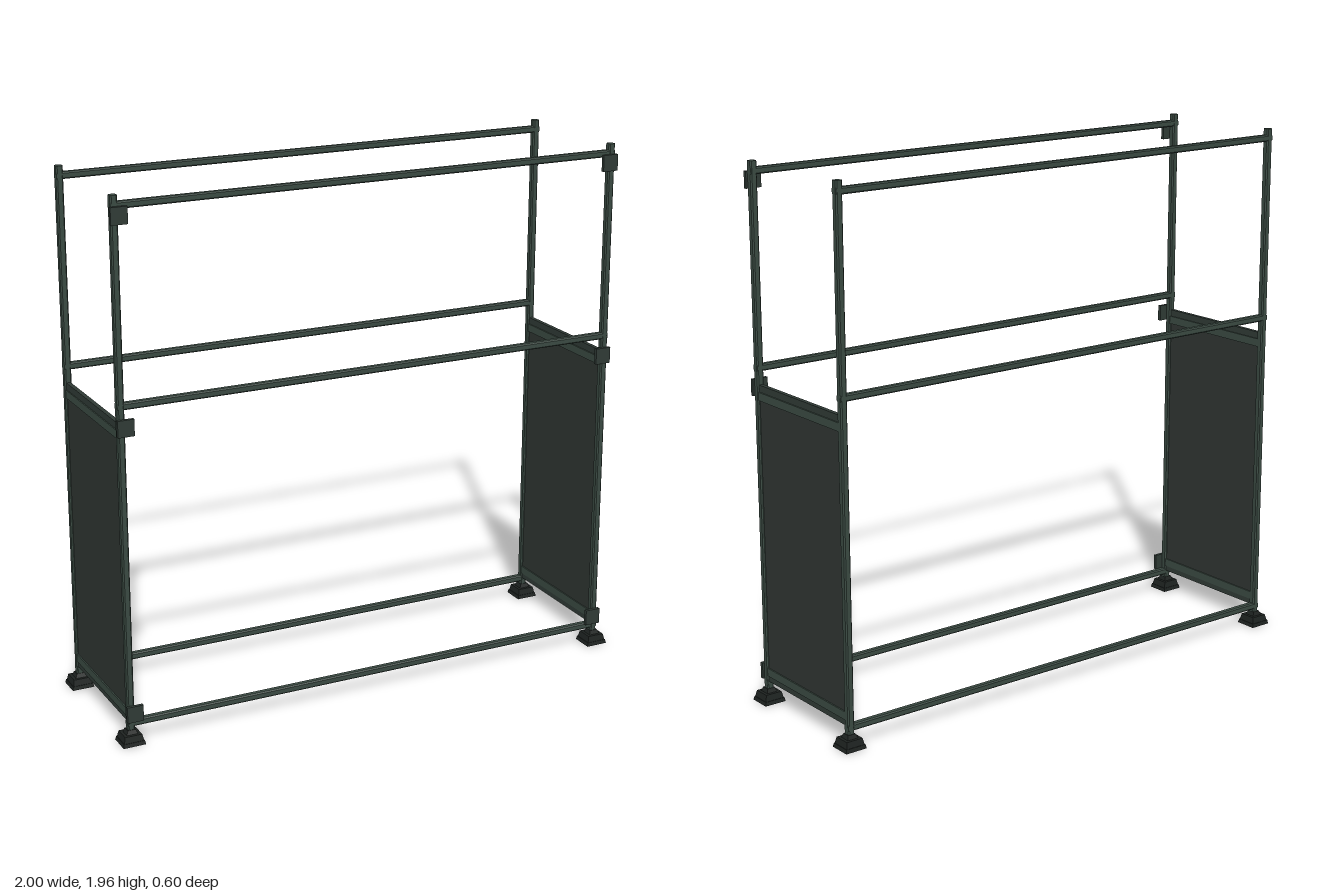
import * as THREE from 'three';

const material = (color) => new THREE.MeshStandardMaterial({ color, flatShading: true });

const frameMat = material(0x3a4a42);
const panelMat = material(0x2f3532);
const plateMat = material(0x2f3a35);
const footMat = material(0x1d2220);

const POST_X = 0.957, POST_Z = 0.26, TUBE = 0.026;

// Square tube with chamfered corners, running along z and centred on its length
function tubeGeometry(length, size = TUBE) {
  const h = size / 2, c = size * 0.18;
  const shape = new THREE.Shape([
    [h, -h + c], [h, h - c], [h - c, h], [-h + c, h],
    [-h, h - c], [-h, -h + c], [-h + c, -h], [h - c, -h],
  ].map(([x, y]) => new THREE.Vector2(x, y)));
  const geo = new THREE.ExtrudeGeometry(shape, { depth: length, bevelEnabled: false });
  return geo.translate(0, 0, -length / 2);
}

function add(parent, name, geo, mat, x, y, z) {
  const mesh = new THREE.Mesh(geo, mat);
  mesh.name = name;
  mesh.position.set(x, y, z);
  parent.add(mesh);
  return mesh;
}

// Stepped foot with a square base, a tapered tier and a neck
function makeFoot() {
  const foot = new THREE.Group();
  foot.name = 'foot';
  const tier = (name, bottom, top, y0, y1) => {
    const geo = new THREE.CylinderGeometry(top / Math.SQRT2, bottom / Math.SQRT2, y1 - y0, 4);
    geo.rotateY(Math.PI / 4);
    add(foot, name, geo, footMat, 0, (y0 + y1) / 2, 0);
  };
  tier('footBase', 0.084, 0.078, 0, 0.014);
  tier('footTaper', 0.074, 0.064, 0.014, 0.037);
  tier('footNeck', 0.042, 0.03, 0.037, 0.052);
  return foot;
}

export function createModel() {
  const model = new THREE.Group();
  model.name = 'frameRack';

  // Posts and feet at the four corners
  const postGeo = tubeGeometry(1.92).rotateX(Math.PI / 2);
  for (const sx of [-1, 1]) {
    for (const sz of [-1, 1]) {
      add(model, 'post', postGeo, frameMat, sx * POST_X, 1.0, sz * POST_Z);
      const foot = makeFoot();
      foot.position.set(sx * 0.958, 0, sz * POST_Z);
      model.add(foot);
    }
  }

  // Long rails, front and back
  const railGeo = tubeGeometry(POST_X * 2 + 0.025, 0.025).rotateY(Math.PI / 2);
  for (const sz of [-1, 1]) {
    for (const y of [0.075, 1.24, 1.925]) {
      add(model, 'longRail', railGeo, frameMat, 0, y, sz * POST_Z);
    }
  }

  // End panels with cross bars
  const panelGeo = new THREE.BoxGeometry(0.012, 1.1, 0.5);
  const barGeo = new THREE.BoxGeometry(0.022, 0.03, 0.5);
  const lipGeo = new THREE.BoxGeometry(0.016, 0.025, 0.5);
  for (const sx of [-1, 1]) {
    const end = new THREE.Group();
    end.name = 'endPanel';
    end.position.x = sx * POST_X;
    add(end, 'panel', panelGeo, panelMat, 0, 0.63, 0);
    for (const y of [0.115, 1.14]) add(end, 'crossBar', barGeo, frameMat, 0, y, 0);
    for (const y of [0.0915, 1.1685]) add(end, 'panelLip', lipGeo, plateMat, 0, y, 0);
    model.add(end);
  }

  // Joint plates on the faces of the front posts
  const plateGeo = new THREE.BoxGeometry(0.06, 0.06, 0.013);
  for (const sx of [-1, 1]) {
    for (const y of [0.114, 1.167, 1.893]) {
      add(model, 'jointPlate', plateGeo, plateMat, sx * 0.945, y, POST_Z + 0.0185);
    }
  }
  return model;
}
